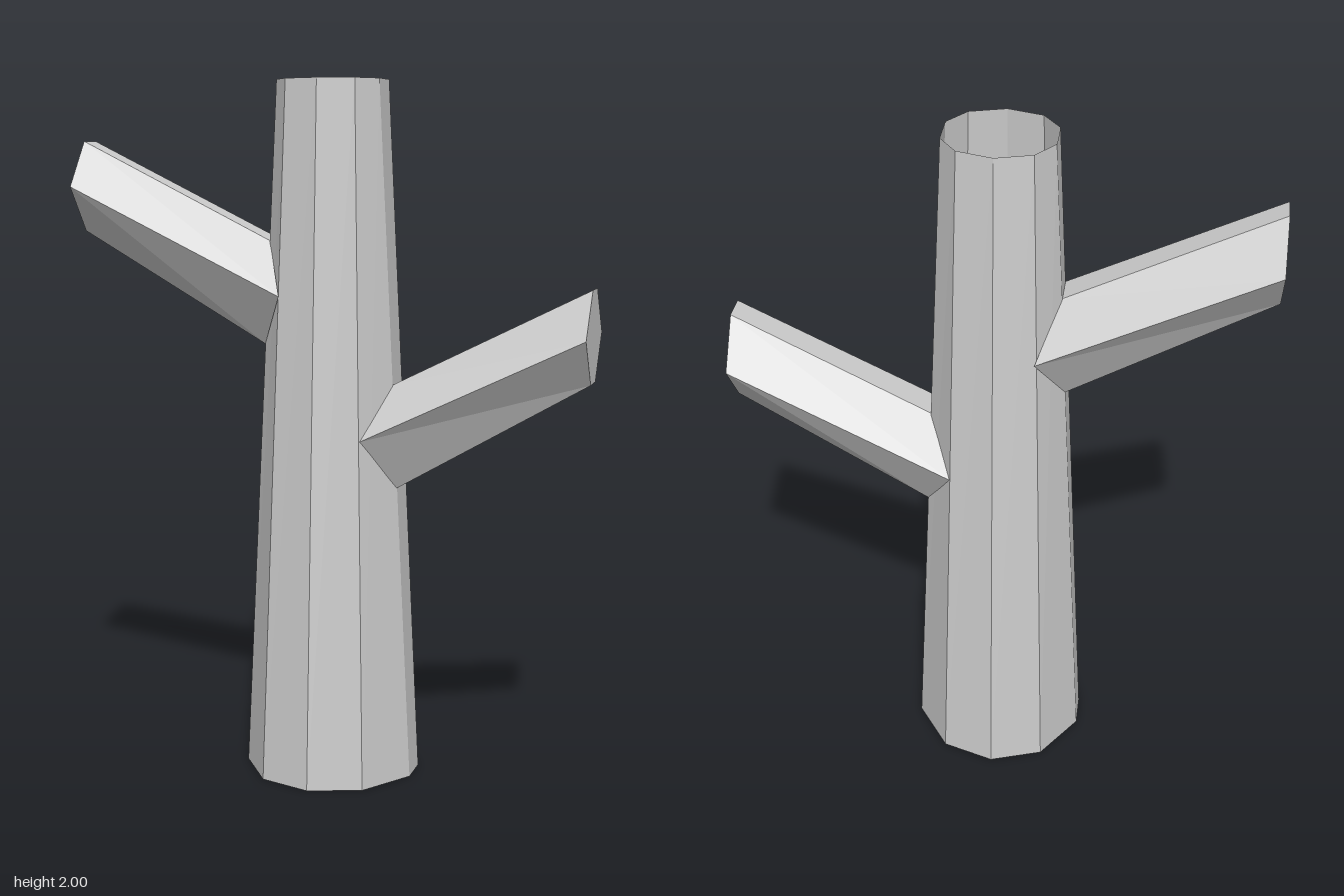
import * as THREE from 'three';

const material = new THREE.MeshStandardMaterial({ color: 0xcccccc, flatShading: true, side: THREE.DoubleSide });

// Faceted skin between two rings of [x, y, z] points, with an optional cap on the second ring.
function loft(name, a, b, capEnd) {
  const points = [];
  const n = a.length;
  for (let i = 0; i < n; i++) {
    const j = (i + 1) % n;
    points.push(a[i], a[j], b[j], a[i], b[j], b[i]);
  }
  if (capEnd) for (let i = 1; i < n - 1; i++) points.push(b[0], b[i], b[i + 1]);
  const geometry = new THREE.BufferGeometry();
  geometry.setAttribute('position', new THREE.Float32BufferAttribute(points.flat(), 3));
  geometry.computeVertexNormals();
  const mesh = new THREE.Mesh(geometry, material);
  mesh.name = name;
  return mesh;
}

// Ten-sided trunk ring from one quarter of its outline.
function trunkRing(y, r, [x1, z1], [x2, z2]) {
  return [
    [0, r], [x1, z1], [x2, z2], [x2, -z2], [x1, -z1],
    [0, -r], [-x1, -z1], [-x2, -z2], [-x2, z2], [-x1, z1],
  ].map(([x, z]) => [x, y, z]);
}

// Six-sided branch ring: top, side and bottom corners as [x, y, z], each paired across z.
function branchRing([tx, ty, tz], [sx, sy, sz], [bx, by, bz]) {
  return [[tx, ty, -tz], [tx, ty, tz], [sx, sy, sz], [bx, by, bz], [bx, by, -bz], [sx, sy, -sz]];
}

// Branch rising outward along +x, its root fitted to the tapering trunk.
function branch(name, y, topX, sideX, bottomX) {
  const root = branchRing([topX, y + 0.15, 0.047], [sideX, y, 0.157], [bottomX, y - 0.145, 0.052]);
  const tip = branchRing([0.75, y + 0.43, 0.04], [0.75, y + 0.3, 0.14], [0.75, y + 0.17, 0.04]);
  return loft(name, root, tip, true);
}

export function createModel() {
  const model = new THREE.Group();
  model.name = 'tree';

  // Hollow trunk, open at both ends
  model.add(loft('trunk',
    trunkRing(0, 0.25, [0.15, 0.2], [0.25, 0.05]),
    trunkRing(2, 0.15, [0.1, 0.12], [0.15, 0.05]), false));

  // Lower branch to the left, higher branch to the right
  model.add(branch('leftBranch', 1.0, 0.192, 0.125, 0.207));
  const right = branch('rightBranch', 1.4, 0.173, 0.11, 0.187);
  right.rotation.y = Math.PI;
  model.add(right);

  return model;
}
